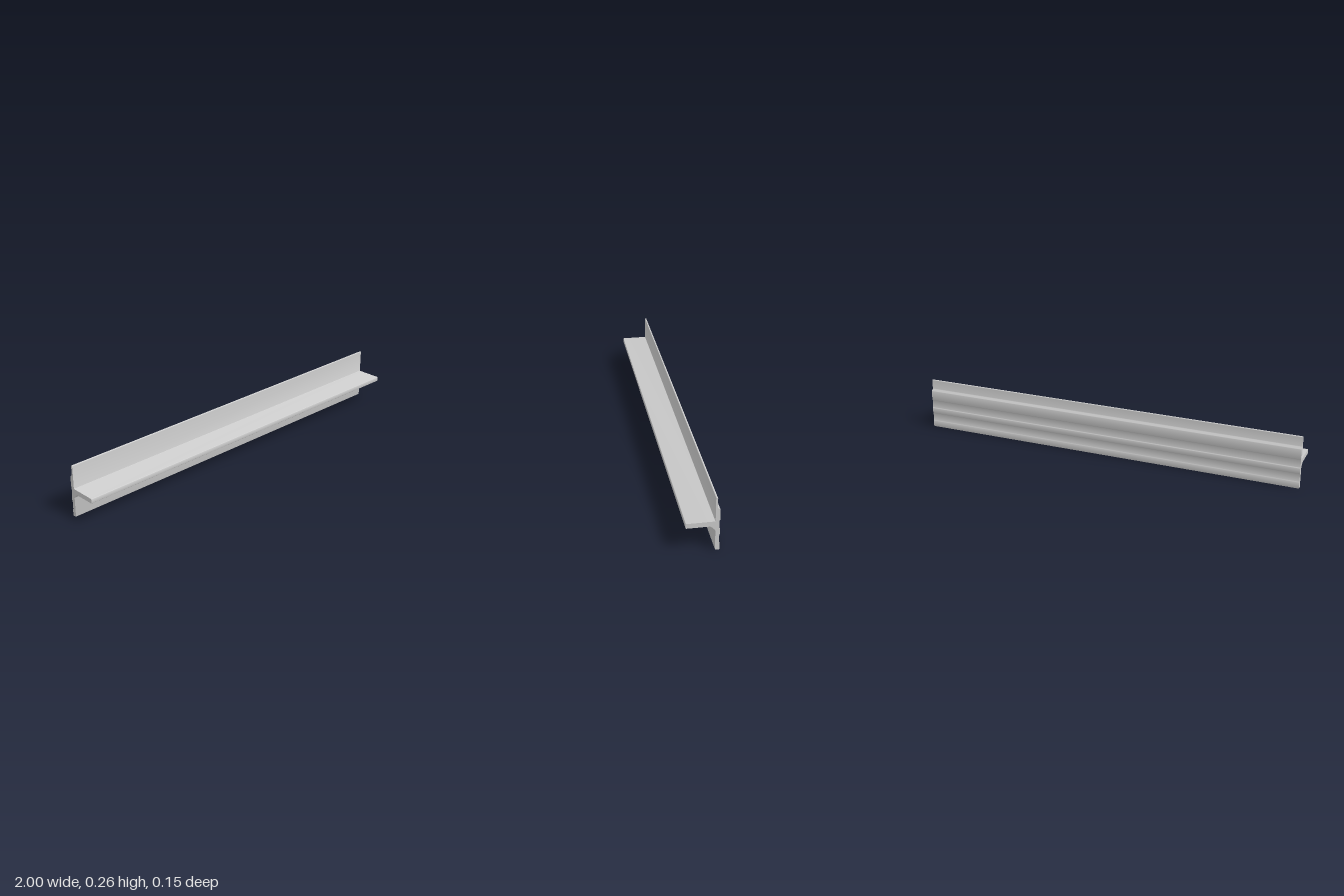
import * as THREE from 'three';
import { toCreasedNormals } from 'three/addons/utils/BufferGeometryUtils.js';

const LENGTH = 2;

// Cross-section corners: [z, y, corner radius]
const PROFILE = [
  // upright plate, front face, upper half
  [-0.0625, 0.263, 0.004], [-0.054, 0.263, 0.004], [-0.054, 0.1455, 0.002],
  // shelf flange
  [0.076, 0.1455, 0.004], [0.076, 0.122, 0.004], [-0.033, 0.122, 0.006],
  // sloped fillet and lower front face
  [-0.054, 0.101, 0.006], [-0.054, 0, 0.004], [-0.074, 0, 0.004],
  // back face with shallow raised pads
  [-0.074, 0.033, 0.001], [-0.0715, 0.036, 0.001],
  [-0.0715, 0.076, 0.001], [-0.0745, 0.079, 0.001],
  [-0.0745, 0.106, 0.001], [-0.0715, 0.109, 0.001],
  [-0.0715, 0.149, 0.001], [-0.0745, 0.152, 0.001],
  // sloped step back to the thin upper lip
  [-0.0745, 0.203, 0.002], [-0.0625, 0.2125, 0.003],
];

// Closed shape whose corners are rounded by each point's radius
function roundedShape(points) {
  const shape = new THREE.Shape();
  const n = points.length;
  points.forEach(([x, y, r], i) => {
    const corner = new THREE.Vector2(x, y);
    const toward = ([px, py]) => {
      const d = new THREE.Vector2(px, py).sub(corner);
      return d.setLength(Math.min(r, d.length() * 0.45)).add(corner);
    };
    const a = toward(points[(i + n - 1) % n]);
    const b = toward(points[(i + 1) % n]);
    if (i === 0) shape.moveTo(a.x, a.y);
    else shape.lineTo(a.x, a.y);
    shape.quadraticCurveTo(x, y, b.x, b.y);
  });
  shape.closePath();
  return shape;
}

export function createModel() {
  const group = new THREE.Group();
  group.name = 'extrudedRail';

  // The whole rail is one section swept along x
  const geometry = new THREE.ExtrudeGeometry(roundedShape(PROFILE), {
    depth: LENGTH, bevelEnabled: false, curveSegments: 5,
  });
  geometry.rotateY(-Math.PI / 2);
  geometry.translate(LENGTH / 2, 0, 0);

  const rail = new THREE.Mesh(
    toCreasedNormals(geometry, Math.PI / 6),
    new THREE.MeshStandardMaterial({ color: 0xcccccc }),
  );
  rail.name = 'flangedRail';
  group.add(rail);
  return group;
}
